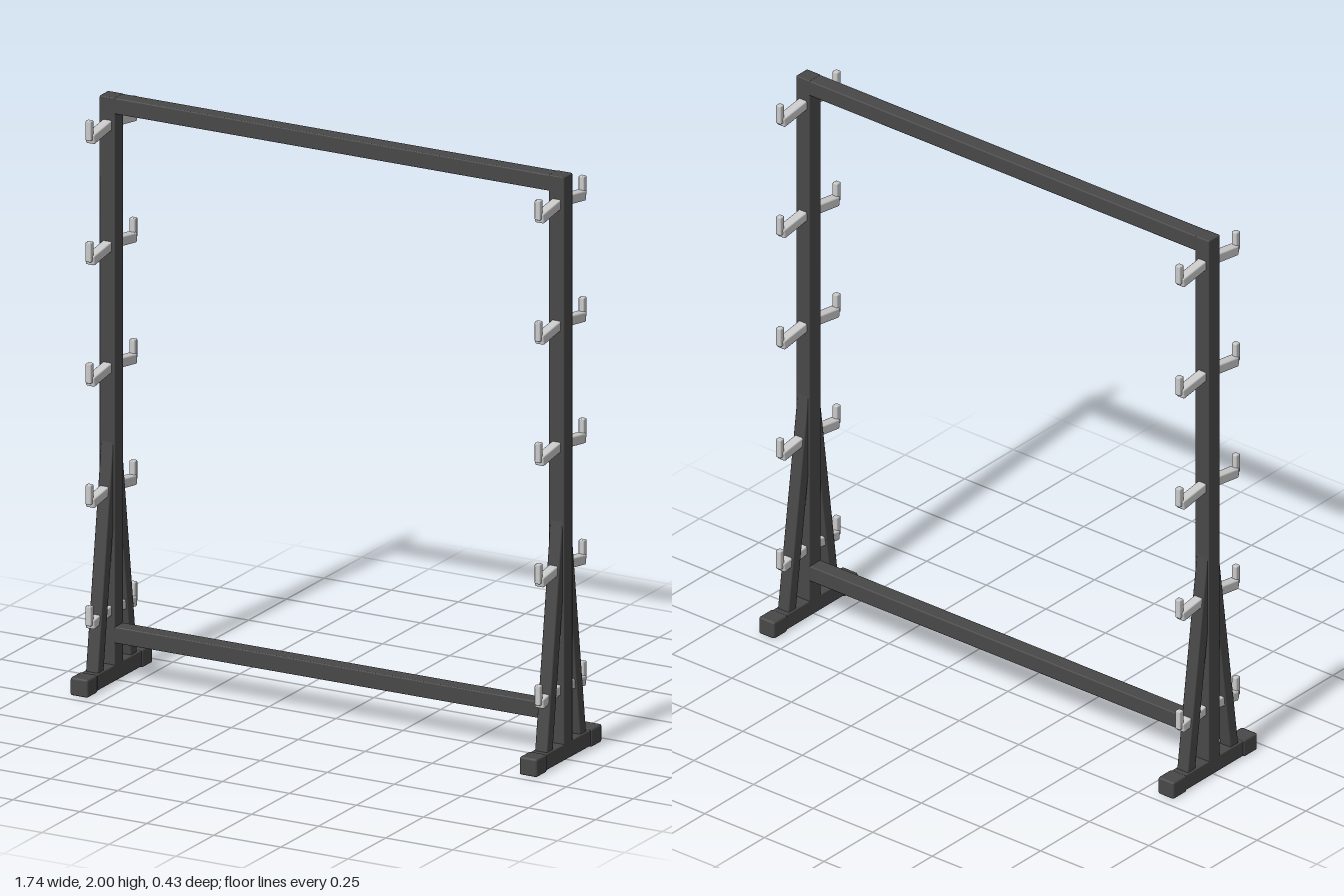
import * as THREE from 'three';
import { RoundedBoxGeometry } from 'three/addons/geometries/RoundedBoxGeometry.js';

export function createModel() {
  const root = new THREE.Group();
  root.name = 'storageRack';
  const steel = new THREE.MeshStandardMaterial({ color: 0x484848 });
  steel.name = 'dark steel';
  const pegGrey = new THREE.MeshStandardMaterial({ color: 0xcacaca });
  pegGrey.name = 'light grey';

  // Box with small chamfered edges
  function bar(parent, name, mat, size, pos, bevel = 0.004, tilt = 0) {
    const mesh = new THREE.Mesh(new RoundedBoxGeometry(...size, 1, bevel), mat);
    mesh.name = name;
    mesh.position.set(...pos);
    mesh.rotation.x = tilt;
    parent.add(mesh);
  }

  // Bar running between two points [y, z] in the side plane
  function strut(parent, name, mat, x, a, b, width, depth, bevel) {
    const dy = b[0] - a[0], dz = b[1] - a[1];
    bar(parent, name, mat, [width, Math.hypot(dy, dz), depth],
      [x, (a[0] + b[0]) / 2, (a[1] + b[1]) / 2], bevel, Math.atan2(dz, dy));
  }

  const postX = 0.838, postW = 0.058;

  // Cross beams
  const span = 2 * postX - postW + 0.01;
  bar(root, 'topBeam', steel, [span, 0.055, 0.056], [0, 1.9715, 0]);
  bar(root, 'lowerBeam', steel, [span, 0.056, 0.056], [0, 0.162, 0]);

  for (const side of [1, -1]) {
    const frame = new THREE.Group();
    frame.name = side > 0 ? 'leftFrame' : 'rightFrame';
    root.add(frame);
    const x = side * postX;

    // Post and foot
    bar(frame, 'post', steel, [postW, 1.96, 0.058], [x, 1.02, 0]);
    bar(frame, 'footBar', steel, [0.058, 0.056, 0.41], [x, 0.032, 0]);

    for (const dir of [1, -1]) {
      bar(frame, 'footCap', steel, [0.066, 0.062, 0.07], [x, 0.031, dir * 0.181], 0.007);
      strut(frame, 'brace', steel, x, [0.05, dir * 0.111], [0.84, dir * 0.006], 0.046, 0.04);

      // Pegs with upturned tips
      for (let i = 0; i < 5; i++) {
        const y = 0.24 + i * 0.415;
        strut(frame, 'pegArm', pegGrey, x, [y + 0.005, dir * 0.02], [y - 0.013, dir * 0.143],
          0.034, 0.034, 0.005);
        bar(frame, 'pegTip', pegGrey, [0.021, 0.068, 0.021], [x, y + 0.018, dir * 0.145], 0.004);
      }
    }
  }
  return root;
}
